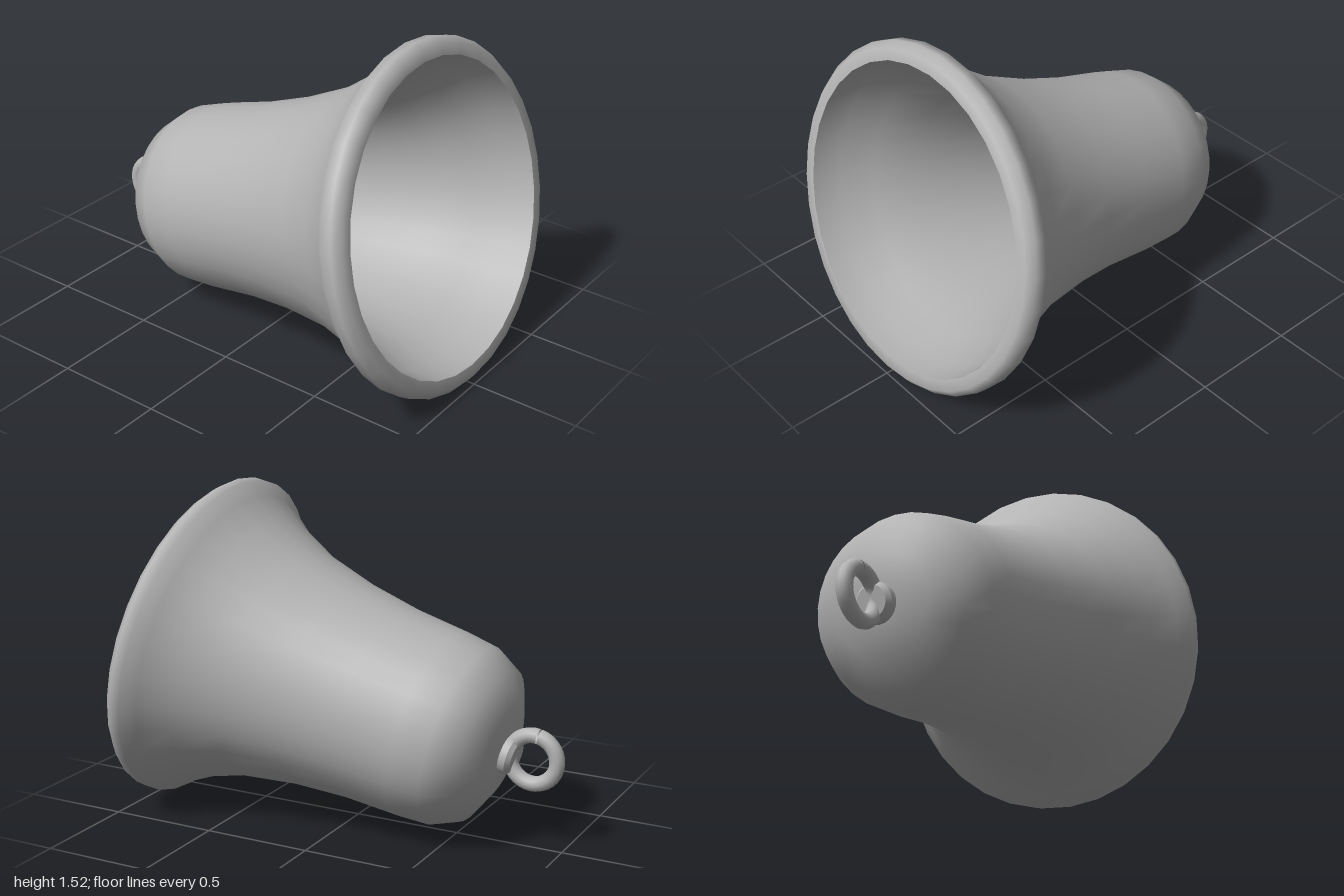
import * as THREE from 'three';

const metal = new THREE.MeshStandardMaterial({ color: 0xb4b4b4, side: THREE.DoubleSide });
metal.name = 'grey metal';

const TILT = THREE.MathUtils.degToRad(13); // bell axis above the x axis

function part(name, geometry) {
  const mesh = new THREE.Mesh(geometry, metal);
  mesh.name = name;
  return mesh;
}

function lathe(name, profile, segments = 32) {
  return part(name, new THREE.LatheGeometry(profile.map(([r, t]) => new THREE.Vector2(r, t)), segments));
}

export function createModel() {
  const model = new THREE.Group();
  model.name = 'bell';

  // Bell body: radius and distance along the axis, mouth plane at 0
  const body = new THREE.Group();
  body.name = 'bellBody';
  body.position.set(0.831, 0.773, 0);
  body.rotation.z = TILT - Math.PI / 2;
  model.add(body);

  // Outer skin from crown to rolled lip
  body.add(lathe('outerShell', [
    [0, -1.6], [0.09, -1.598], [0.22, -1.58], [0.357, -1.512], [0.42, -1.39],
    [0.437, -1.243], [0.454, -0.977], [0.489, -0.726], [0.55, -0.464],
    [0.635, -0.266], [0.718, -0.138], [0.774, -0.084], [0.774, -0.035],
    [0.744, 0], [0.692, 0],
  ]));

  // Inner skin from mouth to closed end
  body.add(lathe('innerShell', [
    [0.692, 0], [0.665, -0.13], [0.59, -0.27], [0.508, -0.47], [0.445, -0.73],
    [0.41, -0.977], [0.393, -1.243], [0.375, -1.37], [0.325, -1.475],
    [0.2, -1.535], [0.09, -1.553], [0, -1.555],
  ]));

  // Stud on the crown, with a bevelled end
  const studEnd = lathe('studBevel', [[0.07, -1.65], [0.088, -1.63]], 24);
  const studSide = lathe('studSide', [[0.088, -1.63], [0.088, -1.58]], 24);
  const studCap = lathe('studCap', [[0, -1.65], [0.07, -1.65]], 24);
  body.add(studEnd, studSide, studCap);

  // Hanging ring with a narrow split near its top
  const gap = 0.06;
  const ring = part('hangingRing', new THREE.TorusGeometry(0.11, 0.035, 12, 32, Math.PI * 2 - gap));
  ring.position.set(-0.855, 0.405, 0);
  ring.rotation.z = THREE.MathUtils.degToRad(103) + gap / 2;
  model.add(ring);

  return model;
}
